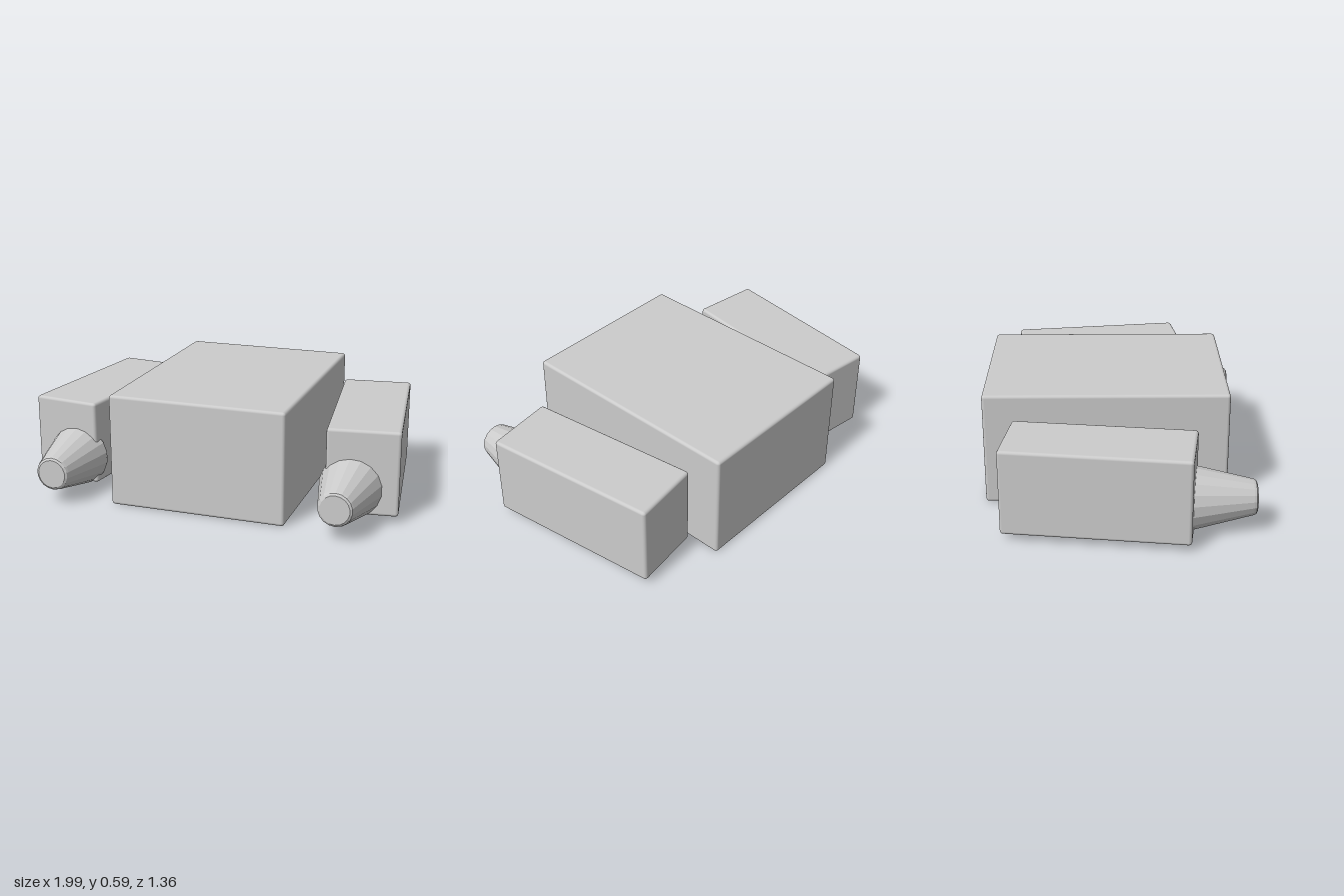
import * as THREE from 'three';
import { RoundedBoxGeometry } from 'three/addons/geometries/RoundedBoxGeometry.js';

const material = new THREE.MeshStandardMaterial({ color: 0xcccccc });
const facetedMaterial = new THREE.MeshStandardMaterial({ color: 0xcccccc, flatShading: true });

// Box with narrow softened edges
function softBox(name, width, height, depth, x, y, z) {
  const mesh = new THREE.Mesh(new RoundedBoxGeometry(width, height, depth, 2, 0.016), material);
  mesh.name = name;
  mesh.position.set(x, y, z);
  return mesh;
}

// Tapered nozzle along +z, closed at both ends, with bevelled rims
function makeNozzle() {
  const profile = [
    [0, 0], [0.15, 0], [0.16, 0.005], [0.163, 0.018],
    [0.091, 0.322], [0.086, 0.335], [0.075, 0.342], [0, 0.342],
  ].map(([r, h]) => new THREE.Vector2(r, h));
  const geometry = new THREE.LatheGeometry(profile, 18);
  geometry.rotateX(Math.PI / 2);
  const mesh = new THREE.Mesh(geometry, facetedMaterial);
  mesh.name = 'nozzle';
  return mesh;
}

export function createModel() {
  const model = new THREE.Group();
  model.name = 'model';

  // Central block
  model.add(softBox('body', 0.934, 0.592, 1.248, 0, 0.301, -0.056));

  // Side pods splay outwards towards the front, each with a nozzle
  for (const side of [1, -1]) {
    const pod = new THREE.Group();
    pod.name = side > 0 ? 'leftPod' : 'rightPod';

    const block = softBox('podBlock', 0.37, 0.444, 0.932, side * 0.75, 0.263, -0.09);
    block.rotation.y = side * 0.135;

    const nozzle = makeNozzle();
    nozzle.position.set(side * 0.75, 0.176, 0.337);

    pod.add(block, nozzle);
    model.add(pod);
  }

  return model;
}
